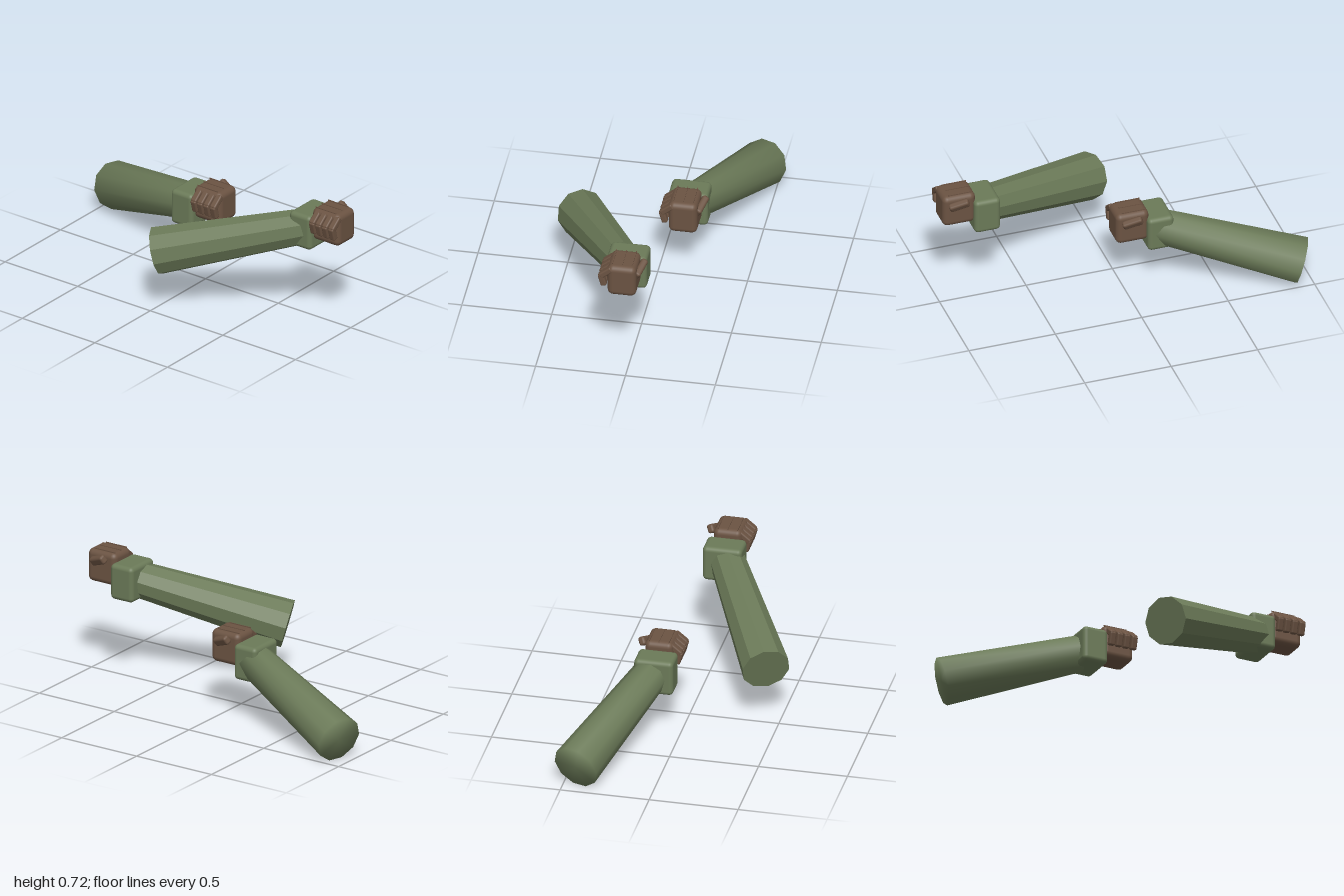
import * as THREE from 'three';
import { mergeVertices } from 'three/addons/utils/BufferGeometryUtils.js';
import { RoundedBoxGeometry } from 'three/addons/geometries/RoundedBoxGeometry.js';

const UP = new THREE.Vector3(0, 1, 0);

function material(name, color) {
  const m = new THREE.MeshStandardMaterial({ color });
  m.name = name;
  return m;
}

export function createModel() {
  const cloth = material('olive cloth', 0x6b7a58);
  const clothFaceted = material('olive cloth faceted', 0x6b7a58);
  clothFaceted.flatShading = true;
  const leather = material('brown leather', 0x6b5342);

  function add(parent, name, geometry, mat, x, y, z) {
    const mesh = new THREE.Mesh(geometry, mat);
    mesh.name = name;
    mesh.position.set(x, y, z);
    parent.add(mesh);
    return mesh;
  }

  // Tapered ten-sided sleeve from the wrist to the open arm end
  function sleeve(parent, wrist, end, smooth) {
    const a = new THREE.Vector3(...wrist), b = new THREE.Vector3(...end);
    const dir = b.clone().sub(a);
    let geo = new THREE.CylinderGeometry(0.135, 0.1, dir.length(), 10);
    if (smooth) {
      geo.deleteAttribute('uv');
      geo.deleteAttribute('normal');
      geo = mergeVertices(geo);
      geo.computeVertexNormals();
    }
    const mid = a.add(b).multiplyScalar(0.5);
    const mesh = add(parent, 'sleeve', geo, smooth ? cloth : clothFaceted, mid.x, mid.y, mid.z);
    mesh.quaternion.setFromUnitVectors(UP, dir.normalize());
  }

  // Gloved fist and cuff, centred on the fist
  function glove() {
    const g = new THREE.Group();
    g.name = 'glove';
    add(g, 'cuff', new RoundedBoxGeometry(0.22, 0.205, 0.15, 3, 0.025), cloth, 0, -0.053, -0.153);
    add(g, 'fist', new RoundedBoxGeometry(0.16, 0.19, 0.19, 3, 0.032), leather, 0, 0, 0);

    // Curled fingers: upper and lower joints
    for (let i = 0; i < 4; i++) {
      const z = -0.056 + i * 0.044;
      const upper = add(g, 'fingerUpper', new RoundedBoxGeometry(0.085, 0.034, 0.038, 2, 0.009), leather, -0.087, 0.05, z);
      upper.rotation.z = 0.68;
      const lower = add(g, 'fingerLower', new RoundedBoxGeometry(0.034, 0.075, 0.036, 2, 0.009), leather, -0.107, 0.0, z);
      lower.rotation.z = 0.27;
    }

    // Thumb lying along the other side
    const thumb = add(g, 'thumb', new RoundedBoxGeometry(0.04, 0.05, 0.115, 2, 0.014), leather, 0.092, 0.047, 0.008);
    thumb.rotation.set(0.38, -0.28, -0.4);

    // Seams on the back of the hand
    for (const x of [-0.055, 0, 0.055]) {
      add(g, 'seam', new THREE.BoxGeometry(0.004, 0.006, 0.14), leather, x, 0.096, -0.01);
    }
    return g;
  }

  function arm(name, fist, wrist, end, smooth) {
    const g = new THREE.Group();
    g.name = name;
    const hand = glove();
    hand.position.set(...fist);
    g.add(hand);
    sleeve(g, wrist, end, smooth);
    return g;
  }

  const model = new THREE.Group();
  model.name = 'arms';
  model.add(
    arm('rightArm', [-0.025, 0.625, 0.9], [-0.045, 0.57, 0.735], [-0.43, 0.345, -0.01], false),
    arm('leftArm', [0.145, 0.41, -0.045], [0.162, 0.358, -0.2], [0.425, 0.132, -0.95], true)
  );
  return model;
}
